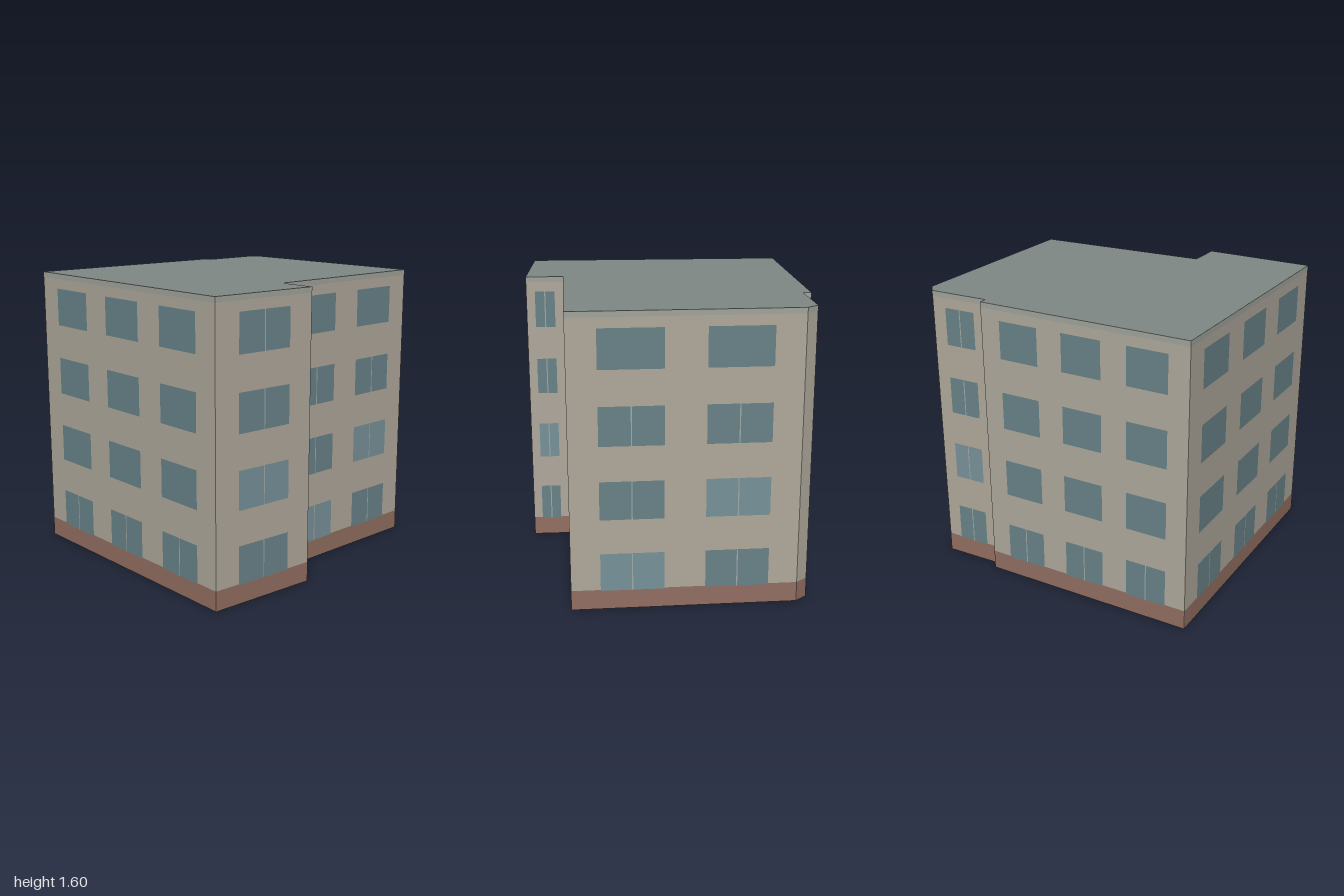
import * as THREE from 'three';

const HEIGHT = 1.6;
const mat = (color, side = THREE.FrontSide) => new THREE.MeshStandardMaterial({ color, side });

// Footprint corners [x, z], running left to right as seen from outside,
// each with the number of window columns on the wall that starts there.
const CORNERS = [
  [-0.475, 0.965, 1], [0.125, 0.77, 1], [0.05, 0.57, 2],
  [1, 0.195, 2], [0.56, -0.925, 0], [0.49, -0.965, 1],
  [0.165, -0.838, 0], [0.15, -0.88, 3], [-1, -0.46, 3],
];

// Window centres and width as fractions of the wall length
const LAYOUT = {
  0: { centres: [], width: 0 },
  1: { centres: [0.5], width: 0.53 },
  2: { centres: [0.27, 0.73], width: 0.28 },
  3: { centres: [0.19, 0.5, 0.81], width: 0.19 },
};

export function createModel() {
  const model = new THREE.Group();
  model.name = 'apartmentBlock';
  const wallMat = mat(0xb0a99c, THREE.DoubleSide);
  const mullionMat = mat(0xa3aaa6);
  const brickMat = mat(0x936f62);
  const copingMat = mat(0xa0a59c);
  const glassMats = [mat(0x698389), mat(0x78929a)];

  // Upright rectangle on a wall, slightly proud of it by `lift`
  function panel(parent, name, material, w, h, x, y, lift) {
    const mesh = new THREE.Mesh(new THREE.PlaneGeometry(w, h), material);
    mesh.name = name;
    mesh.position.set(x, y, lift);
    parent.add(mesh);
  }

  CORNERS.forEach(([x, z, columns], i) => {
    const [x2, z2] = CORNERS[(i + 1) % CORNERS.length];
    const length = Math.hypot(x2 - x, z2 - z);
    const wall = new THREE.Group();
    wall.name = 'wall' + (i + 1);
    wall.position.set(x, 0, z);
    wall.rotation.y = Math.atan2(z - z2, x2 - x);

    panel(wall, 'wallFace', wallMat, length, HEIGHT, length / 2, HEIGHT / 2, 0);
    panel(wall, 'brickBase', brickMat, length, 0.11, length / 2, 0.055, 0.001);
    panel(wall, 'coping', copingMat, length, 0.03, length / 2, HEIGHT - 0.015, 0.001);

    // Four storeys of windows, some split by a mullion
    const { centres, width } = LAYOUT[columns];
    centres.forEach((c, col) => {
      for (let floor = 0; floor < 4; floor++) {
        const y = 0.21 + floor * 0.4;
        const light = columns < 3 && (columns === 1 ? floor === 1 : floor === col);
        panel(wall, 'window', glassMats[light ? 1 : 0], width * length, 0.21, c * length, y, 0.002);
        const split = columns === 1 || (columns === 2 ? floor < 3 : floor === 0);
        if (split) panel(wall, 'mullion', mullionMat, 0.006, 0.21, c * length, y, 0.003);
      }
    });
    model.add(wall);
  });

  // Flat roof over the footprint; the underside stays open
  const outline = new THREE.Shape(CORNERS.map(([x, z]) => new THREE.Vector2(x, -z)));
  const roof = new THREE.Mesh(new THREE.ShapeGeometry(outline), mat(0x7f8885, THREE.DoubleSide));
  roof.name = 'roof';
  roof.rotation.x = -Math.PI / 2;
  roof.position.y = HEIGHT;
  model.add(roof);

  return model;
}
